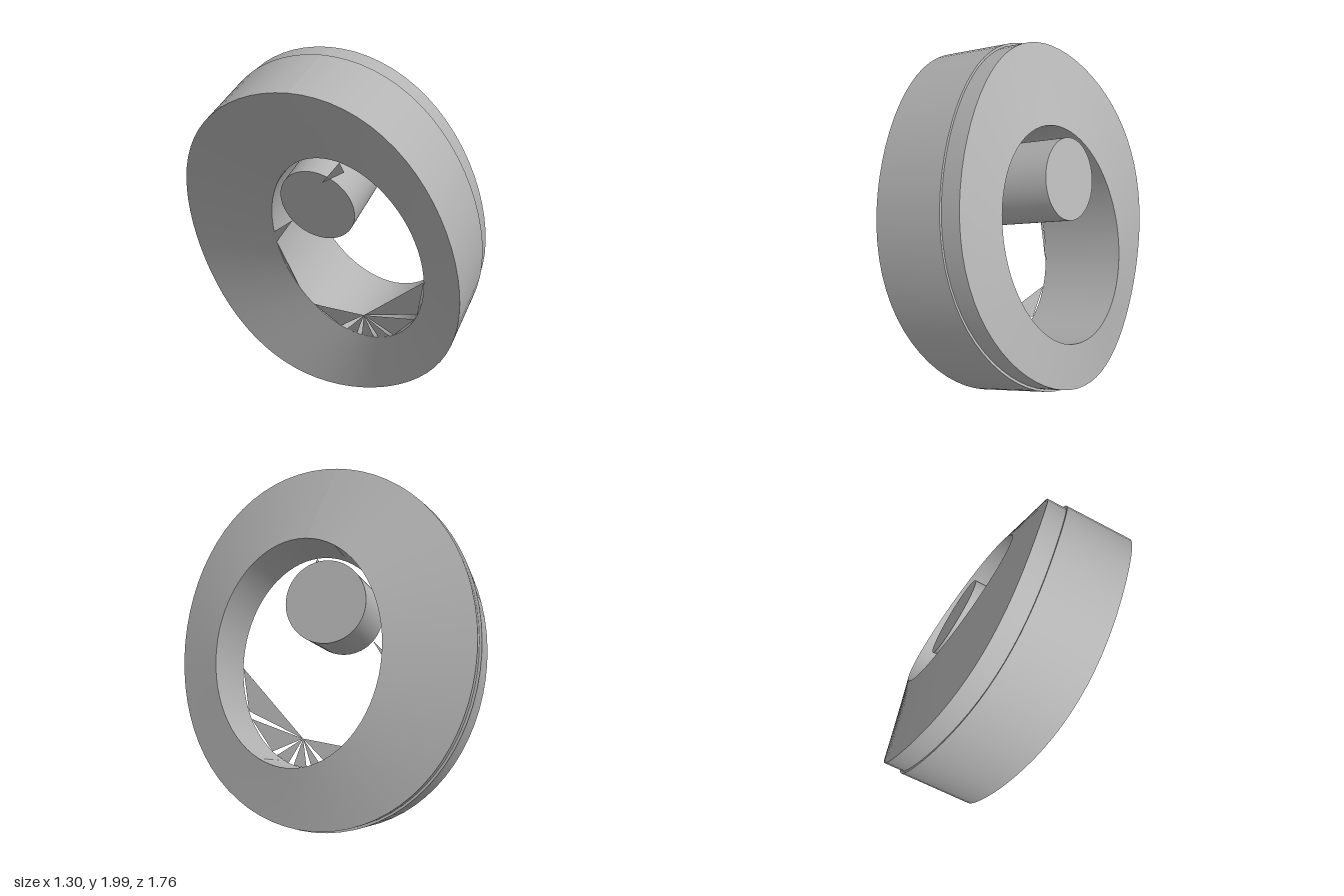
import * as THREE from 'three';

const SEG = 72;

// Ring of points: an ellipse in the local xy plane, its height z given by a rule
function ring(cx, cy, rx, ry, height) {
  const pts = [];
  for (let i = 0; i <= SEG; i++) {
    const a = (i / SEG) * Math.PI * 2;
    const x = cx + rx * Math.cos(a), y = cy + ry * Math.sin(a);
    pts.push([x, y, height(x, y)]);
  }
  return pts;
}

// Smooth strip of surface between two rings
function strip(name, r0, r1, material) {
  const pos = [], index = [], n = SEG + 1;
  for (const p of [...r0, ...r1]) pos.push(...p);
  for (let i = 0; i < SEG; i++) {
    index.push(i, i + 1, n + i + 1, i, n + i + 1, n + i);
  }
  const g = new THREE.BufferGeometry();
  g.setAttribute('position', new THREE.Float32BufferAttribute(pos, 3));
  g.setIndex(index);
  g.computeVertexNormals();
  const mesh = new THREE.Mesh(g, material);
  mesh.name = name;
  return mesh;
}

// Thin triangular web
function web(points, material) {
  const g = new THREE.BufferGeometry();
  g.setAttribute('position', new THREE.Float32BufferAttribute(points.flat(), 3));
  g.computeVertexNormals();
  const mesh = new THREE.Mesh(g, material);
  mesh.name = 'web';
  return mesh;
}

export function createModel() {
  const grey = new THREE.MeshStandardMaterial({ color: 0xb4b4b4, side: THREE.DoubleSide });
  grey.name = 'grey';

  // Wavy, sloping heights of the outer edges along the wheel axis
  const wave = (x, y, tilt, ripple) => {
    const a = Math.atan2(y / 0.82, x / 0.965);
    return ripple * Math.sin(3 * a) - tilt * Math.sin(a);
  };
  const rimFront = (x, y) => 0.258 + 0.015 * x + wave(x, y, 0.075, 0.022);
  const rimStep = (x, y) => rimFront(x, y) - 0.105;
  const rimBack = (x, y) => -0.243 + 0.03 * x + wave(x, y, 0.07, 0.026);

  // Sloping heights of the bore edges and hub ends
  const boreFront = (x, y) => 0.346 - 0.156 * y;
  const boreBack = (x, y) => -0.13 - 0.15 * y;
  const capFront = (x, y) => 0.37 - 0.09 * y;
  const capBack = (x, y) => -0.105 - 0.03 * y;

  const wheel = new THREE.Group();
  wheel.name = 'wheel';

  // Outer ring with stepped wall, domed front, dished back and off-centre bore
  const outerBack = ring(0, 0, 0.965, 0.82, rimBack);
  const stepOuter = ring(0, 0, 0.965, 0.82, rimStep);
  const stepInner = ring(0, 0, 0.953, 0.806, rimStep);
  const outerFront = ring(0, 0, 0.953, 0.806, rimFront);
  const holeFront = ring(-0.04, 0.125, 0.6, 0.462, boreFront);
  const holeBack = ring(-0.04, 0.125, 0.6, 0.462, boreBack);
  wheel.add(
    strip('outerWall', outerBack, stepOuter, grey),
    strip('step', stepOuter, stepInner, grey),
    strip('frontBand', stepInner, outerFront, grey),
    strip('frontFace', outerFront, holeFront, grey),
    strip('bore', holeFront, holeBack, grey),
    strip('backFace', holeBack, outerBack, grey)
  );

  // Eccentric hub
  const hx = 0.22, hy = -0.02, hr = 0.216;
  const hubBack = ring(hx, hy, hr, hr, capBack);
  const hubFront = ring(hx, hy, hr, hr, capFront);
  const hub = new THREE.Group();
  hub.name = 'hub';
  hub.add(
    strip('hubBackCap', ring(hx, hy, 0, 0, capBack), hubBack, grey),
    strip('hubWall', hubBack, hubFront, grey),
    strip('hubFrontCap', hubFront, ring(hx, hy, 0, 0, capFront), grey)
  );
  wheel.add(hub);

  // Small webs across the back of the bore: two to the hub, the rest as a fan below
  const rim = (deg) => {
    const a = THREE.MathUtils.degToRad(deg);
    return [-0.04 + 0.6 * Math.cos(a), 0.125 + 0.462 * Math.sin(a)];
  };
  const apex = [-0.475, 0.177];
  const webs = [
    [rim(7), [0.5, 0.2], [0.4, 0.052]],
    [rim(264), rim(271), [0.09, -0.19]],
    [rim(264), rim(248), rim(232)],
    ...[[95, 120], [125, 150], [154, 164], [168, 178], [182, 190], [195, 218]]
      .map(([a, b]) => [apex, rim(a), rim(b)])
  ];
  for (const w of webs) {
    wheel.add(web(w.map(([x, y]) => [x, y, boreBack(x, y)]), grey));
  }

  // Tilt the wheel so its axis points sideways, up and back
  const axis = new THREE.Vector3(0.81, 0.335, -0.48).normalize();
  const side = new THREE.Vector3(-axis.z, 0, axis.x).normalize();
  const up = new THREE.Vector3().crossVectors(side, axis);
  wheel.quaternion.setFromRotationMatrix(new THREE.Matrix4().makeBasis(up, side, axis));
  wheel.position.y = 1;

  const model = new THREE.Group();
  model.name = 'model';
  model.add(wheel);
  return model;
}
